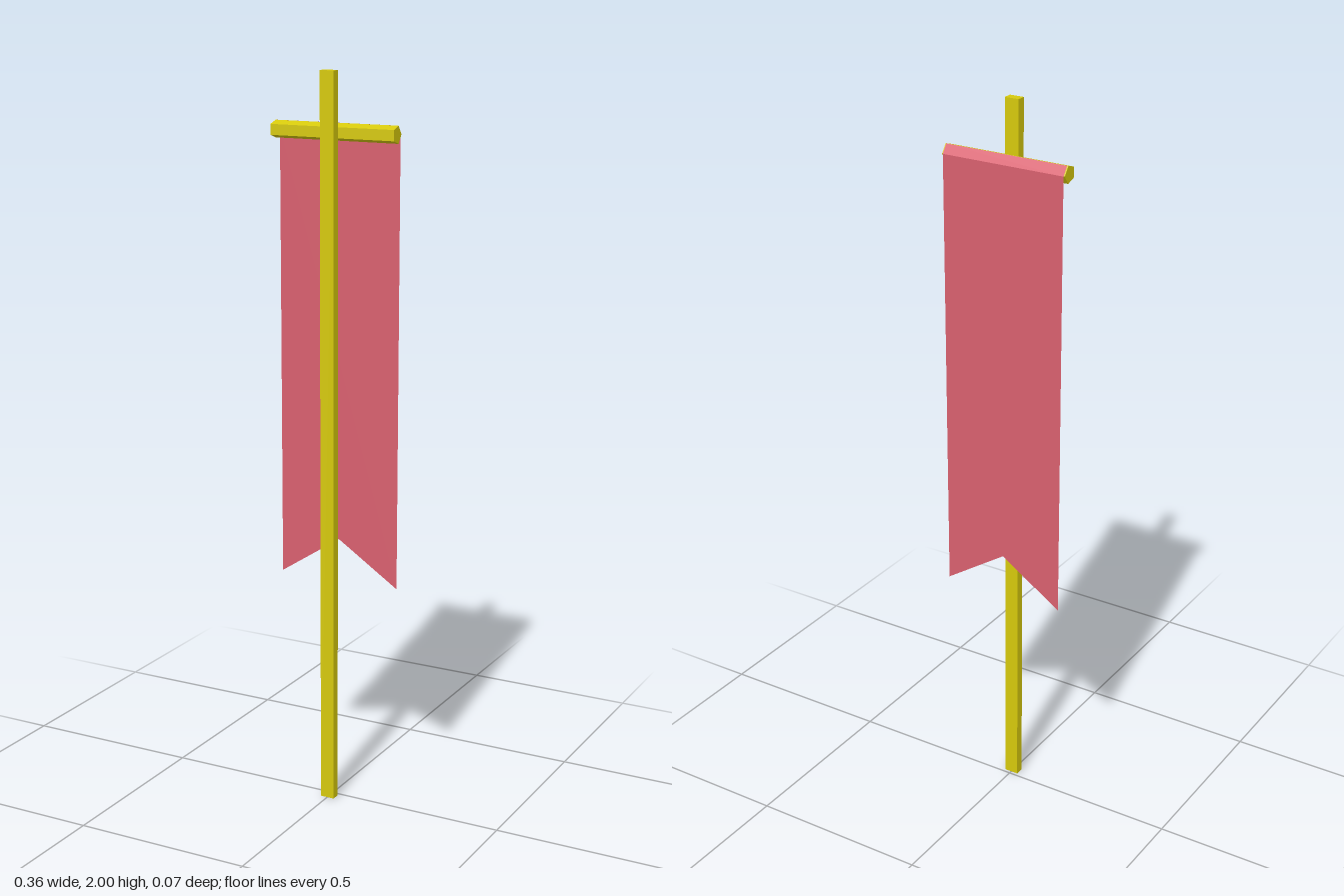
import * as THREE from 'three';

const BAR_Y = 1.842, BAR_Z = -0.01, BAR_R = 0.024;
const CLOTH_HALF = 0.176;

export function createModel() {
  const group = new THREE.Group();
  const gold = new THREE.MeshStandardMaterial({ color: 0xd6c90c, flatShading: true });
  const red = new THREE.MeshStandardMaterial({ color: 0xd9606f, flatShading: true, side: THREE.DoubleSide });

  const add = (name, geometry, material, x, y, z) => {
    const mesh = new THREE.Mesh(geometry, material);
    mesh.name = name;
    mesh.position.set(x, y, z);
    group.add(mesh);
    return mesh;
  };

  // Square upright pole, in front of the crossbar
  add('pole', new THREE.BoxGeometry(0.04, 2, 0.0245), gold, 0, 1, 0.0217);

  // Five-sided crossbar with one edge pointing to the back
  const bar = new THREE.CylinderGeometry(BAR_R, BAR_R, 0.358, 5, 1, false, Math.PI);
  bar.rotateZ(Math.PI / 2);
  add('crossbar', bar, gold, 0, BAR_Y, BAR_Z);

  // Hanging cloth with a swallowtail cut, straight down from the back edge
  const clothZ = BAR_Z - BAR_R - 0.001;
  const outline = new THREE.Shape([
    new THREE.Vector2(-CLOTH_HALF, BAR_Y),
    new THREE.Vector2(-CLOTH_HALF, 0.622),
    new THREE.Vector2(0, 0.738),
    new THREE.Vector2(CLOTH_HALF, 0.622),
    new THREE.Vector2(CLOTH_HALF, BAR_Y),
  ]);
  add('bannerCloth', new THREE.ShapeGeometry(outline), red, 0, 0, clothZ);

  // Cloth folded over the upper back face of the crossbar
  const foldLength = 2 * BAR_R * Math.sin(Math.PI / 5);
  const fold = new THREE.PlaneGeometry(CLOTH_HALF * 2, foldLength);
  fold.translate(0, foldLength / 2, 0);
  fold.rotateX(Math.PI / 5);
  add('bannerFold', fold, red, 0, BAR_Y, clothZ);

  return group;
}
